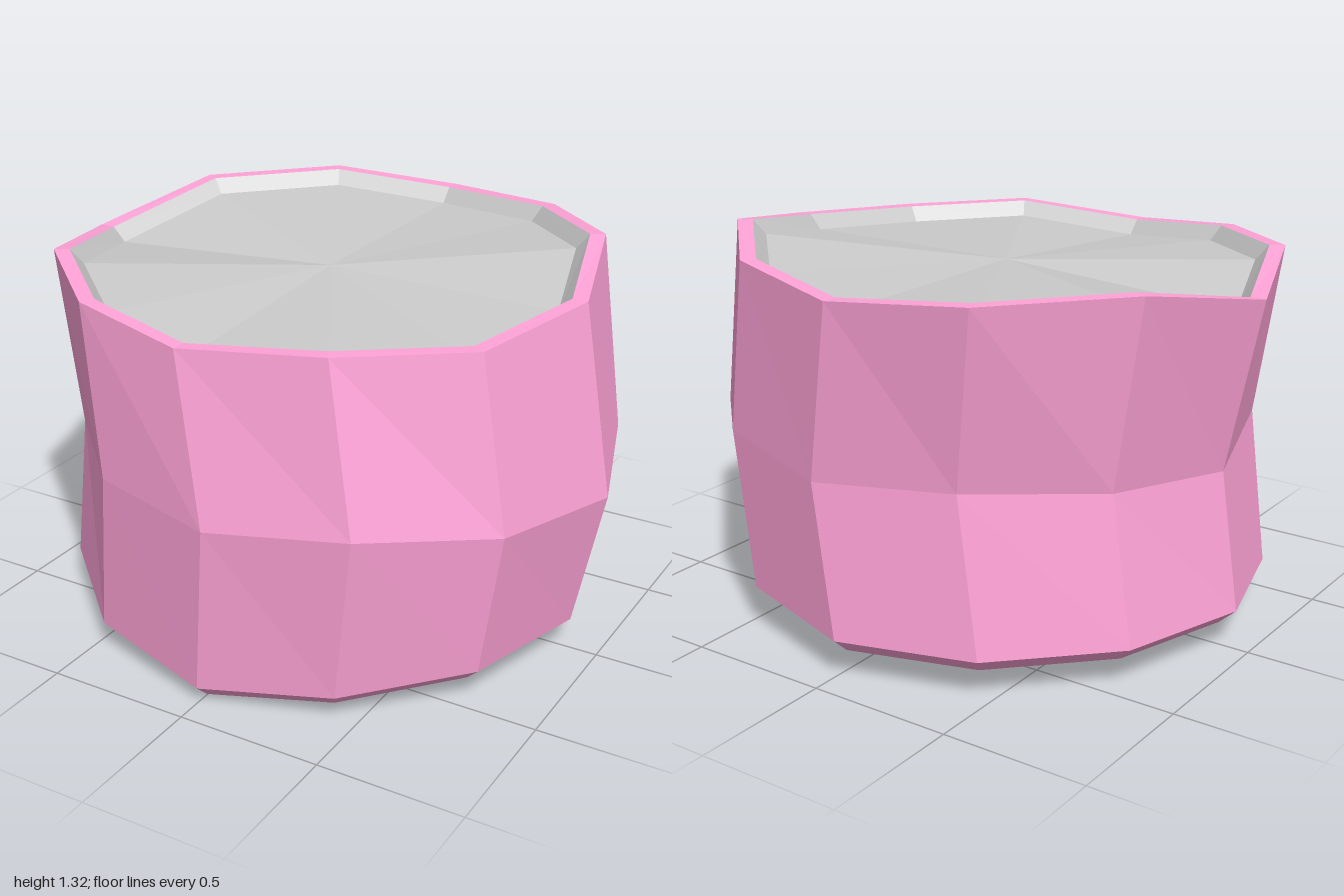
import * as THREE from 'three';

// Hand-shaped cross-sections of the drum: twelve [x, y, z] corners each, from +x towards +z
const FOOT = [
  [0.9, 0.115, 0], [0.78, 0.13, 0.47], [0.44, 0.1, 0.79], [0, 0.06, 0.91],
  [-0.46, 0.1, 0.79], [-0.82, 0.13, 0.46], [-0.95, 0.14, 0], [-0.82, 0.15, -0.46],
  [-0.48, 0.15, -0.8], [-0.02, 0.145, -0.93], [0.44, 0.16, -0.79], [0.78, 0.145, -0.45],
];
const WAIST = [
  [1, 0.6, 0], [0.86, 0.64, 0.49], [0.52, 0.69, 0.83], [0.06, 0.655, 0.94],
  [-0.4, 0.67, 0.82], [-0.74, 0.665, 0.48], [-0.88, 0.615, 0], [-0.74, 0.65, -0.45],
  [-0.4, 0.68, -0.79], [0.06, 0.66, -0.92], [0.52, 0.7, -0.78], [0.86, 0.655, -0.44],
];
const RIM = [
  [0.89, 1.25, 0], [0.76, 1.22, 0.47], [0.41, 1.235, 0.77], [-0.07, 1.2, 0.86],
  [-0.49, 1.24, 0.77], [-0.84, 1.265, 0.46], [-1, 1.2, 0], [-0.85, 1.29, -0.48],
  [-0.5, 1.285, -0.86], [-0.04, 1.255, -0.95], [0.43, 1.285, -0.8], [0.76, 1.32, -0.46],
];

const centre = (ring) =>
  [0, 1, 2].map((k) => ring.reduce((sum, p) => sum + p[k], 0) / ring.length);

// Copy of a ring, shrunk about its own centre and raised
function inset(ring, scale, dy) {
  const [cx, , cz] = centre(ring);
  return ring.map(([x, y, z]) => [cx + (x - cx) * scale, y + dy, cz + (z - cz) * scale]);
}

// Triangles joining each ring to the next
function loft(rings) {
  const out = [];
  for (let r = 0; r < rings.length - 1; r++) {
    const a = rings[r], b = rings[r + 1];
    a.forEach((_, i) => {
      const j = (i + 1) % a.length;
      out.push(a[i], b[i], b[j], a[i], b[j], a[j]);
    });
  }
  return out;
}

// Triangle fan closing a ring
function cap(ring, facingUp) {
  const c = centre(ring);
  return ring.flatMap((p, i) => {
    const q = ring[(i + 1) % ring.length];
    return facingUp ? [c, q, p] : [c, p, q];
  });
}

function addPart(group, name, color, triangles) {
  const geometry = new THREE.BufferGeometry();
  geometry.setAttribute('position', new THREE.Float32BufferAttribute(triangles.flat(), 3));
  geometry.computeVertexNormals();
  const mesh = new THREE.Mesh(geometry, new THREE.MeshStandardMaterial({ color, flatShading: true }));
  mesh.name = name;
  group.add(mesh);
}

export function createModel() {
  const group = new THREE.Group();
  group.name = 'drum';
  const base = inset(FOOT, 0.935, -0.055);
  const lip = inset(RIM, 0.943, 0);
  const top = inset(RIM, 0.895, -0.05);
  const under = inset(base, 0.95, 0.12);

  // Coloured skin: bevelled foot, two bands of wall and the flat lip
  addPart(group, 'outerShell', 0xffa3d7, loft([base, FOOT, WAIST, RIM, lip]));
  // Sunken top face with its short inner wall
  addPart(group, 'topRecess', 0xcccccc, [...loft([lip, top]), ...cap(top, true)]);
  // Sunken underside with its inner wall
  addPart(group, 'bottomRecess', 0xcccccc, [...loft([under, base]), ...cap(under, false)]);
  return group;
}
